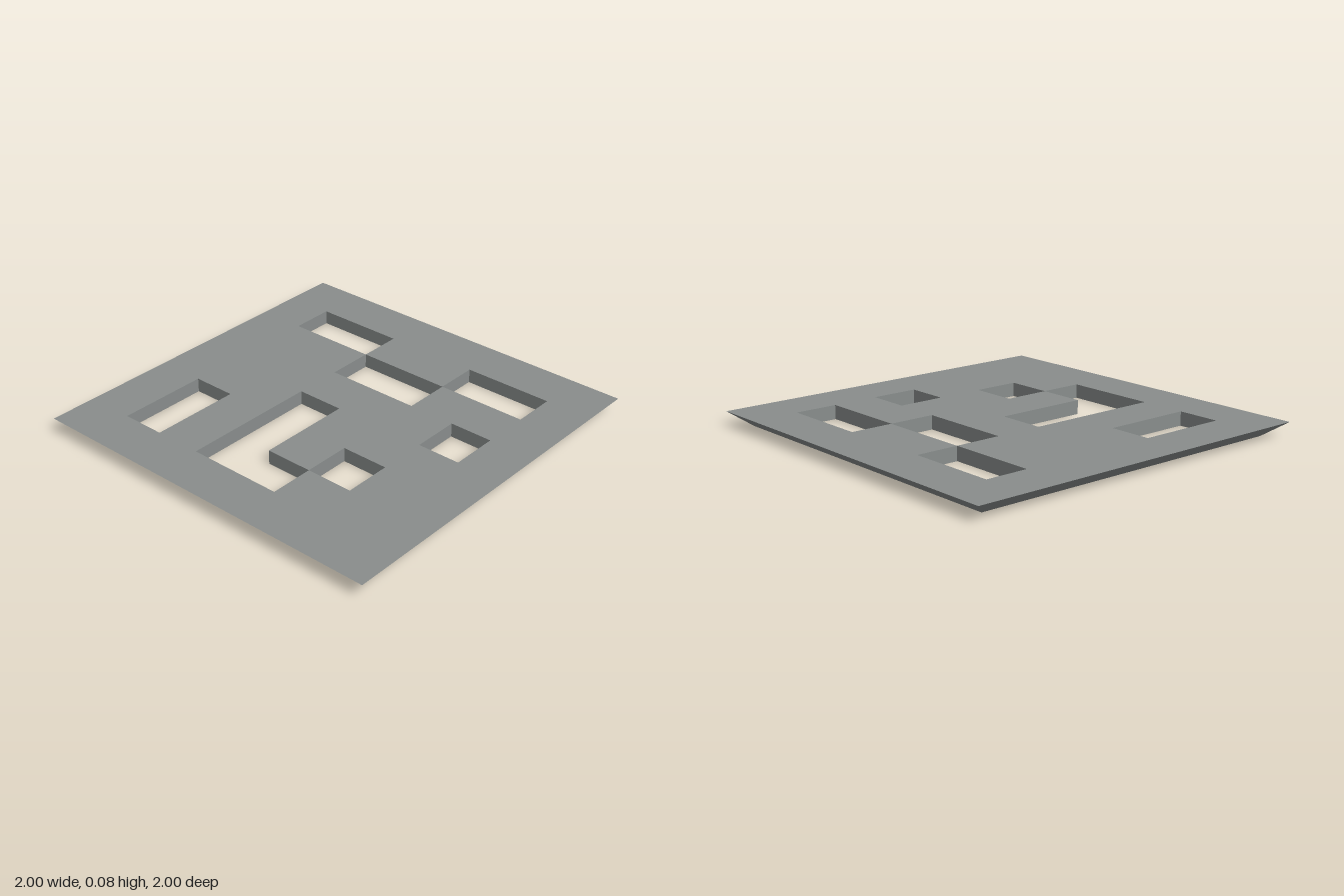
import * as THREE from 'three';

const HEIGHT = 0.075;
const BOTTOM = 0.9; // half width of the underside

// Grid lines shared by x and z, and the plan of the plate (# = solid, . = opening)
const LINES = [-1, -0.745, -0.51, -0.257, 0, 0.257, 0.51, 0.743, 1];
const PLAN = [
  '########',
  '#..###.#',
  '######.#',
  '#...#.##',
  '#.###.##',
  '##.###.#',
  '####.#.#',
  '########',
];

const solid = (i, j) => PLAN[j]?.[i] === '#';

// Grid corner; the rim is drawn in at the bottom to give the sloping edge
function corner([i, j], top) {
  const limit = top ? 1 : BOTTOM;
  const fit = (v) => THREE.MathUtils.clamp(v, -limit, limit);
  return [fit(LINES[i]), top ? HEIGHT : 0, fit(LINES[j])];
}

function plateGeometry() {
  const positions = [];
  const quad = (a, b, c, d) => positions.push(...a, ...b, ...c, ...a, ...c, ...d);

  for (let j = 0; j < PLAN.length; j++) {
    for (let i = 0; i < PLAN.length; i++) {
      if (!solid(i, j)) continue;
      const loop = [[i, j], [i, j + 1], [i + 1, j + 1], [i + 1, j]];
      const neighbours = [[i - 1, j], [i, j + 1], [i + 1, j], [i, j - 1]];

      // top and underside
      quad(...loop.map((p) => corner(p, true)));
      quad(...loop.map((p) => corner(p, false)).reverse());

      // walls towards openings and the outside
      neighbours.forEach(([ni, nj], k) => {
        if (solid(ni, nj)) return;
        const a = loop[k];
        const b = loop[(k + 1) % 4];
        quad(corner(a, true), corner(a, false), corner(b, false), corner(b, true));
      });
    }
  }

  const geometry = new THREE.BufferGeometry();
  geometry.setAttribute('position', new THREE.Float32BufferAttribute(positions, 3));
  geometry.computeVertexNormals();
  return geometry;
}

export function createModel() {
  const group = new THREE.Group();
  const material = new THREE.MeshStandardMaterial({ color: 0x898d8c, flatShading: true });
  const plate = new THREE.Mesh(plateGeometry(), material);
  plate.name = 'piercedPlate';
  group.add(plate);
  return group;
}
